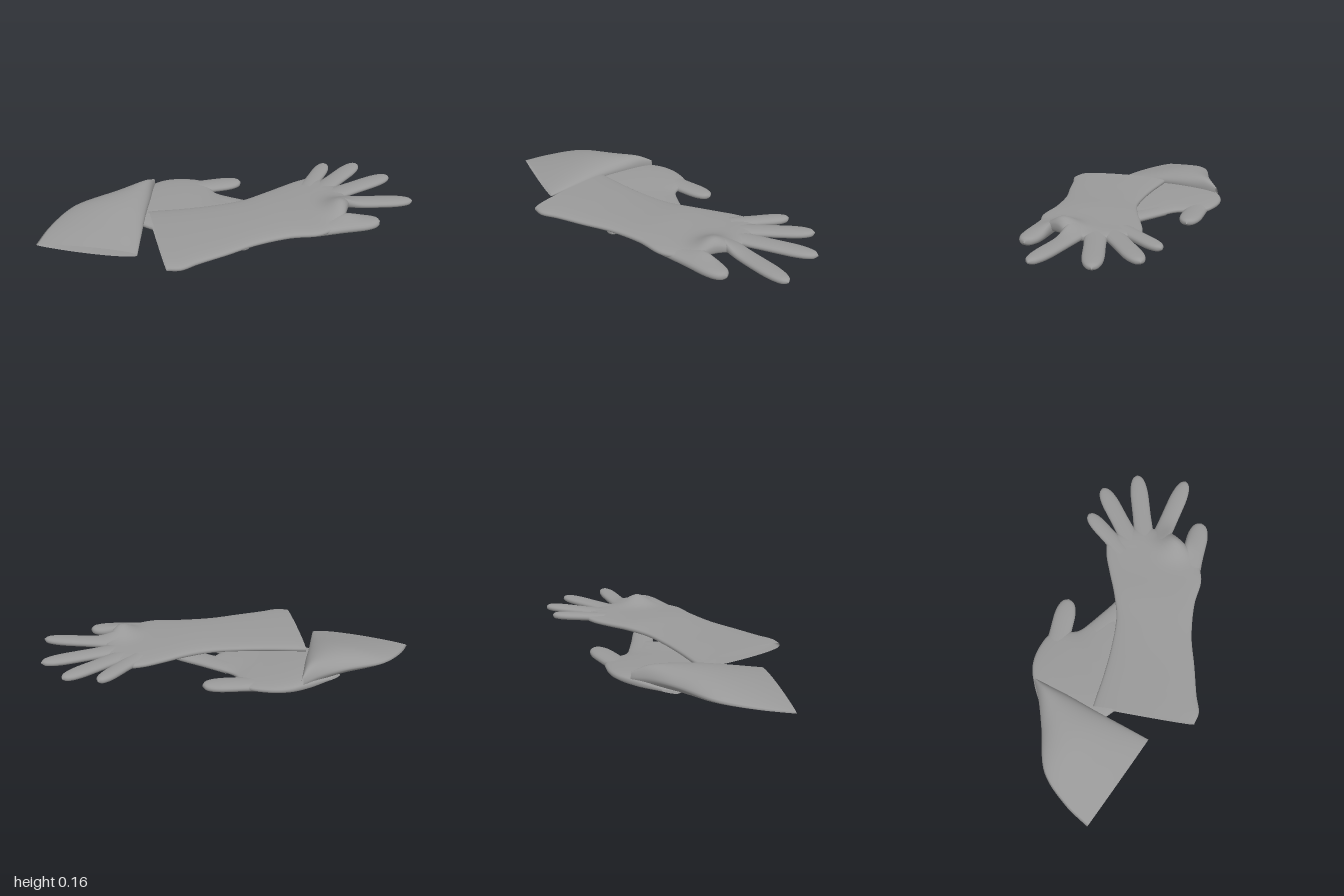
import * as THREE from 'three';

const material = new THREE.MeshStandardMaterial({ color: 0x999999, side: THREE.DoubleSide });

// Skin a flattened tube over stations [leftX, leftZ, rightX, rightZ, bottomY, topY]
// flat: squareness of the section, skew below 1 moves its crest to the right
function loft(name, stations, { rows = 40, sides = 32, flat = 0.65, skew = 1, bump } = {}) {
  const left = new THREE.CatmullRomCurve3(stations.map(s => new THREE.Vector3(s[0], s[4], s[1])));
  const right = new THREE.CatmullRomCurve3(stations.map(s => new THREE.Vector3(s[2], s[5], s[3])));
  const positions = [], index = [];
  for (let i = 0; i <= rows; i++) {
    const a = left.getPoint(i / rows), b = right.getPoint(i / rows);
    for (let j = 0; j < sides; j++) {
      const angle = (j / sides) * Math.PI * 2;
      const k = ((1 - Math.cos(angle)) / 2) ** skew, s = Math.sin(angle);
      const x = a.x + (b.x - a.x) * k, z = a.z + (b.z - a.z) * k;
      let y = (a.y + b.y) / 2 + ((b.y - a.y) / 2) * Math.sign(s) * Math.abs(s) ** flat;
      if (bump) y += bump(x, y, z);
      positions.push(x, Math.max(0, y), z);
      if (i < rows) {
        const n = (j + 1) % sides, p = i * sides, q = p + sides;
        index.push(p + j, p + n, q + j, p + n, q + n, q + j);
      }
    }
  }
  const geometry = new THREE.BufferGeometry();
  geometry.setAttribute('position', new THREE.Float32BufferAttribute(positions, 3));
  geometry.setIndex(index);
  geometry.computeVertexNormals();
  const mesh = new THREE.Mesh(geometry, material);
  mesh.name = name;
  return mesh;
}

// Finger with a full root and a rounded tip
const fingerProfile = [[0, 1.1], [0.2, 1.05], [0.4, 1], [0.6, 1], [0.75, 0.97], [0.88, 0.8], [0.96, 0.5], [1, 0.03]];
function finger(name, [x0, z0], [x1, z1], radius, y0, y1, bump) {
  const dx = x1 - x0, dz = z1 - z0, len = Math.hypot(dx, dz);
  const mid = (y0 + y1) / 2, half = (y1 - y0) / 2;
  const stations = fingerProfile.map(([t, w]) => {
    const x = x0 + dx * t, z = z0 + dz * t;
    const ox = (-dz / len) * radius * w, oz = (dx / len) * radius * w;
    const h = half * Math.sqrt(Math.min(w, 1));
    return [x - ox, z - oz, x + ox, z + oz, mid - h, mid + h];
  });
  return loft(name, stations, { rows: 28, sides: 20, flat: 0.8, bump });
}

function upperGlove() {
  const glove = new THREE.Group();
  glove.name = 'upperGlove';
  // Raised fold between thumb and forefinger
  const bump = (x, y, z) => {
    const d2 = (x - 0.6) ** 2 + (z + 0.09) ** 2;
    return 0.06 * Math.exp(-d2 / 0.008) * THREE.MathUtils.clamp((y - 0.045) / 0.05, 0, 1);
  };
  // Sleeve widening to the open cuff, and the hand
  glove.add(loft('sleeveAndPalm', [
    [-0.48, 0.17, -0.2, 0.675, 0.04, 0.1],
    [-0.43, 0.15, -0.13, 0.655, 0.04, 0.1],
    [-0.29, 0.095, -0.06, 0.585, 0.042, 0.1],
    [-0.13, 0.02, 0.07, 0.47, 0.045, 0.1],
    [0.02, -0.07, 0.2, 0.35, 0.047, 0.103],
    [0.13, -0.18, 0.37, 0.24, 0.047, 0.108],
    [0.22, -0.29, 0.53, 0.17, 0.045, 0.105],
    [0.3, -0.38, 0.62, 0.05, 0.045, 0.103],
    [0.36, -0.42, 0.64, -0.09, 0.048, 0.103],
    [0.43, -0.41, 0.64, -0.18, 0.054, 0.1],
    [0.51, -0.37, 0.6, -0.27, 0.066, 0.092],
    [0.55, -0.33, 0.57, -0.31, 0.076, 0.083],
  ], { rows: 77, sides: 48, flat: 0.65, bump }));
  const y = [0.056, 0.102];
  glove.add(
    finger('littleFinger', [0.37, -0.3], [0.435, -0.635], 0.047, ...y, bump),
    finger('ringFinger', [0.45, -0.3], [0.63, -0.685], 0.054, ...y, bump),
    finger('middleFinger', [0.5, -0.24], [0.84, -0.575], 0.056, ...y, bump),
    finger('indexFinger', [0.53, -0.17], [1.0, -0.31], 0.054, ...y, bump),
    finger('thumb', [0.48, 0.1], [0.83, -0.06], 0.065, 0.037, 0.095, bump),
  );
  return glove;
}

function lowerGlove() {
  const glove = new THREE.Group();
  glove.name = 'lowerGlove';
  // Sleeve folded back over the wrist, sloping up to a crest on its right
  glove.add(loft('foldedSleeve', [
    [-1.0, 0.565, -0.42, 0.525, 0, 0.045],
    [-0.99, 0.4, -0.45, 0.38, 0, 0.085],
    [-0.93, 0.2, -0.49, 0.19, 0.003, 0.125],
    [-0.76, 0.03, -0.52, 0.02, 0.008, 0.133],
    [-0.64, -0.1, -0.545, -0.1, 0.01, 0.122],
    [-0.575, -0.19, -0.56, -0.18, 0.02, 0.085],
  ], { rows: 50, sides: 48, flat: 0.95, skew: 0.7 }));
  // Hand turned sideways from the wrist
  glove.add(loft('palm', [
    [-0.68, -0.04, -0.72, 0.04, 0.015, 0.03],
    [-0.59, -0.18, -0.62, 0.18, 0, 0.06],
    [-0.51, -0.265, -0.5, 0.25, 0, 0.065],
    [-0.4, -0.31, -0.4, 0.28, 0, 0.062],
    [-0.28, -0.31, -0.31, 0.31, 0, 0.056],
    [-0.18, -0.2, -0.24, 0.31, 0, 0.052],
    [-0.06, -0.17, -0.17, 0.27, 0, 0.05],
    [0.02, -0.14, -0.1, 0.19, 0.004, 0.047],
    [0.02, -0.05, -0.02, 0.06, 0.02, 0.03],
  ], { rows: 60, sides: 40, flat: 0.65 }));
  const y = [0, 0.046];
  glove.add(
    finger('indexFinger', [-0.12, -0.11], [0.3, -0.065], 0.064, ...y),
    finger('middleFinger', [-0.18, 0.03], [0.29, 0.18], 0.058, ...y),
    finger('ringFinger', [-0.24, 0.11], [0.15, 0.32], 0.056, ...y),
    finger('littleFinger', [-0.32, 0.2], [-0.03, 0.41], 0.05, ...y),
    finger('thumb', [-0.4, -0.2], [-0.06, -0.375], 0.064, 0, 0.05),
  );
  return glove;
}

export function createModel() {
  const model = new THREE.Group();
  model.name = 'pairOfGloves';
  model.add(upperGlove(), lowerGlove());
  return model;
}
